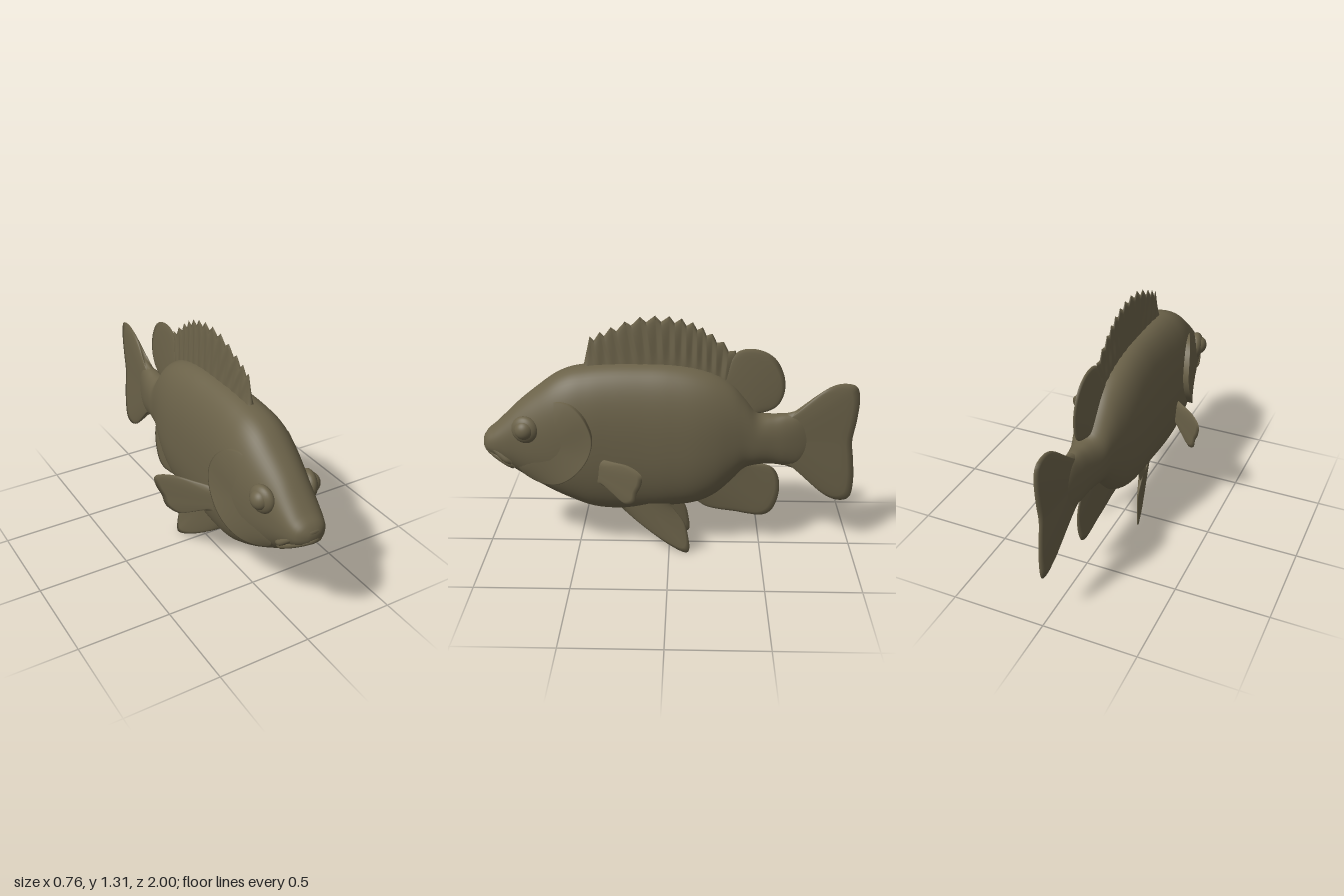
import * as THREE from 'three';
import { mergeVertices } from 'three/addons/utils/BufferGeometryUtils.js';

const olive = new THREE.MeshStandardMaterial({ color: 0x6b6249, side: THREE.DoubleSide });
olive.name = 'olive';

// Body stations from tail to snout: z, top, bottom, half width
const stations = [
  [-0.76, 0.68, 0.58, 0.012], [-0.7, 0.77, 0.5, 0.035], [-0.62, 0.785, 0.49, 0.058], [-0.54, 0.78, 0.5, 0.075],
  [-0.46, 0.795, 0.495, 0.095], [-0.4, 0.87, 0.475, 0.11], [-0.34, 0.94, 0.41, 0.128], [-0.25, 1.0, 0.325, 0.152],
  [-0.15, 1.035, 0.275, 0.167], [0, 1.057, 0.25, 0.172], [0.15, 1.06, 0.238, 0.173], [0.3, 1.058, 0.23, 0.178],
  [0.42, 1.048, 0.246, 0.184], [0.52, 1.03, 0.285, 0.184], [0.6, 0.995, 0.322, 0.175], [0.7, 0.922, 0.378, 0.155],
  [0.8, 0.84, 0.44, 0.13], [0.88, 0.762, 0.497, 0.113], [0.94, 0.705, 0.542, 0.095], [0.975, 0.677, 0.568, 0.072],
  [0.992, 0.65, 0.59, 0.04],
];
const profile = new THREE.CubicInterpolant(stations.map((s) => s[0]), stations.flatMap((s) => s.slice(1)), 3);
const POWER = 2.3;

function section(z) {
  const [top, bottom, w] = profile.evaluate(z);
  return { mid: (top + bottom) / 2, h: (top - bottom) / 2, w };
}

// Half width of the body at a given z and y
function bodyX(z, y) {
  const { mid, h, w } = section(z);
  const t = Math.min(1, Math.abs((y - mid) / h));
  return w * Math.pow(1 - Math.pow(t, POWER), 1 / POWER);
}

// Smooth surface from a rule f(u, v) => [x, y, z]
function surface(nu, nv, f) {
  const pos = [], index = [];
  for (let i = 0; i <= nu; i++) for (let j = 0; j <= nv; j++) pos.push(...f(i / nu, j / nv));
  for (let i = 0; i < nu; i++) for (let j = 0; j < nv; j++) {
    const a = i * (nv + 1) + j, c = a + nv + 1;
    index.push(a, a + 1, c, a + 1, c + 1, c);
  }
  let geo = new THREE.BufferGeometry();
  geo.setAttribute('position', new THREE.Float32BufferAttribute(pos, 3));
  geo.setIndex(index);
  geo = mergeVertices(geo, 1e-5);
  geo.computeVertexNormals();
  return geo;
}

function curve(points, sharp = false, closed = false) {
  return new THREE.CatmullRomCurve3(points.map((p) => new THREE.Vector3(...p)), closed, 'catmullrom', sharp ? 0 : 0.5);
}

// Thin fin between a base curve and a rim, tapering to the rim, with raised rays
function fin(base, rim, { normal = [1, 0, 0], thick = 0.02, rays = 0, ray = 0.003, sharp = false, n = 80 }) {
  const b = curve(base), r = curve(rim, sharp), nrm = new THREE.Vector3(...normal).normalize();
  return surface(n, 20, (u, v) => {
    const side = v < 0.5 ? 1 : -1, k = 1 - Math.abs(2 * v - 1);
    const p = b.getPoint(u).lerp(r.getPoint(u), k);
    const ripple = ray * Math.cos(u * rays * 2 * Math.PI) * Math.sin(Math.PI * k);
    const t = k > 0.999 ? 0 : thick * Math.sqrt(1 - k) * (1 - 0.4 * k) + (rays ? ripple : 0);
    return p.addScaledVector(nrm, side * t).toArray();
  });
}

const side = (points) => points.map(([z, y]) => [0, y, z]);

export function createModel() {
  const model = new THREE.Group();
  model.name = 'fish';
  const add = (name, geo, parent = model) => {
    const mesh = new THREE.Mesh(geo, olive);
    mesh.name = name;
    parent.add(mesh);
    return mesh;
  };

  // Body, closed at both ends
  const z0 = stations[0][0], z1 = stations[stations.length - 1][0];
  add('body', surface(110, 64, (u, v) => {
    const k = Math.min(1, Math.max(0, (u * 110 - 1) / 108));
    const z = z0 + (z1 - z0) * k;
    const { mid, h, w } = section(z);
    const end = u === 0 || u === 1 ? 0 : 1;
    const a = (v === 1 ? 0 : v) * Math.PI * 2, c = Math.cos(a), s = Math.sin(a), e = 2 / POWER;
    return [end * w * Math.sign(c) * Math.abs(c) ** e, mid + end * h * Math.sign(s) * Math.abs(s) ** e,
      z + (u === 1 ? 0.006 : 0)];
  }));

  // Spiny dorsal fin: notched rim between spines
  const crest = curve(side([[0.41, 1.2], [0.3, 1.25], [0.15, 1.305], [0, 1.31], [-0.12, 1.28], [-0.22, 1.22], [-0.34, 1.13]]));
  const rim = [[0, 1.05, 0.445]];
  const SPINES = 12;
  for (let i = 0; i <= SPINES; i++) {
    const p = crest.getPoint(i / SPINES);
    rim.push([0, p.y, p.z]);
    if (i < SPINES) {
      const q = crest.getPoint((i + 0.4) / SPINES);
      rim.push([0, q.y - 0.032, q.z]);
    }
  }
  rim.push([0, 0.99, -0.36]);
  add('spinyDorsalFin', fin(side([[0.43, 1.03], [0.2, 1.04], [0, 1.04], [-0.18, 1.0], [-0.33, 0.92]]), rim,
    { thick: 0.02, rays: 13, ray: 0.005, sharp: true, n: (rim.length - 1) * 8 }));

  add('softDorsalFin', fin(side([[-0.28, 0.96], [-0.37, 0.88], [-0.44, 0.78]]),
    side([[-0.31, 1.06], [-0.34, 1.115], [-0.4, 1.14], [-0.48, 1.13], [-0.55, 1.085], [-0.595, 1.0], [-0.603, 0.91],
      [-0.575, 0.835], [-0.52, 0.797], [-0.46, 0.785]]), { thick: 0.022 }));

  add('analFin', fin(side([[-0.1, 0.3], [-0.28, 0.38], [-0.4, 0.5]]),
    side([[-0.15, 0.265], [-0.2, 0.23], [-0.27, 0.212], [-0.36, 0.2], [-0.44, 0.185], [-0.51, 0.18], [-0.565, 0.215],
      [-0.597, 0.31], [-0.592, 0.41], [-0.55, 0.475], [-0.46, 0.5]]), { thick: 0.022 }));

  add('tailFin', fin(side([[-0.6, 0.77], [-0.64, 0.64], [-0.6, 0.5]]),
    side([[-0.62, 0.785], [-0.7, 0.815], [-0.77, 0.885], [-0.85, 0.94], [-0.92, 0.955], [-0.98, 0.935], [-0.998, 0.86],
      [-0.99, 0.74], [-0.975, 0.63], [-0.988, 0.52], [-0.998, 0.4], [-0.985, 0.3], [-0.93, 0.277], [-0.86, 0.3],
      [-0.79, 0.355], [-0.72, 0.44], [-0.62, 0.49]]), { thick: 0.032 }));

  // Paired parts, built on the left and mirrored
  const gillRim = curve([[0.62, 0.87, 0], [0.52, 0.89, 0.5], [0.44, 0.83, 0.9], [0.395, 0.72, 1], [0.415, 0.61, 1],
    [0.49, 0.505, 1], [0.59, 0.435, 0.9], [0.69, 0.425, 0.7], [0.78, 0.465, 0.35], [0.8, 0.54, 0], [0.73, 0.7, 0]], false, true);
  const gill = surface(24, 96, (u, v) => {
    const g = gillRim.getPoint(v === 1 ? 0 : v);
    const k = Math.min(1, u / 0.94);
    const z = 0.64 + (g.x - 0.64) * k, y = 0.65 + (g.y - 0.65) * k;
    const lift = u > 0.97 ? -0.02 : -0.004 + 0.036 * g.z * k * k;
    return [bodyX(z, y) + lift, y, z];
  });
  const pectoral = (points) => points.map(([x, y]) => [x, y, 0.335 - (x - 0.18) * 1.05]);

  for (const [label, sign] of [['left', 1], ['right', -1]]) {
    const half = new THREE.Group();
    half.name = label + 'Side';
    half.scale.x = sign;
    model.add(half);

    add('gillCover', gill, half);

    // Eye with a raised socket ring
    const eye = add('eye', new THREE.SphereGeometry(0.052, 32, 20), half);
    eye.position.set(0.143, 0.735, 0.75);
    eye.scale.x = 0.9;
    const socket = add('eyeSocket', new THREE.SphereGeometry(0.074, 32, 20), half);
    socket.position.set(0.13, 0.732, 0.75);
    socket.scale.x = 0.56;
    socket.rotation.y = -0.25;

    add('pectoralFin', fin(pectoral([[0.155, 0.56], [0.15, 0.5], [0.155, 0.45]]),
      pectoral([[0.17, 0.585], [0.23, 0.598], [0.3, 0.613], [0.355, 0.605], [0.377, 0.58], [0.37, 0.53], [0.35, 0.48],
        [0.335, 0.42], [0.29, 0.385], [0.25, 0.4], [0.21, 0.425], [0.17, 0.435]]),
      { normal: [1.05, 0, 1], thick: 0.02 }), half);

    add('pelvicFin', fin([[0.03, 0.25, 0.27], [0.065, 0.28, 0.14], [0.1, 0.3, 0]],
      [[0.03, 0.225, 0.26], [0.06, 0.15, 0.165], [0.09, 0.07, 0.05], [0.112, 0.02, -0.04], [0.123, 0.004, -0.095],
        [0.122, 0.03, -0.112], [0.118, 0.1, -0.105], [0.112, 0.18, -0.085], [0.105, 0.26, -0.03]],
      { normal: [1, 0.25, -0.2], thick: 0.024 }), half);
  }

  // Lips
  const lip = (name, half, r) => {
    const pts = [...half.slice(1).reverse().map(([x, y, z]) => [-x, y, z]), ...half];
    add(name, new THREE.TubeGeometry(curve(pts), 48, r, 12, false));
  };
  lip('upperLip', [[0, 0.642, 0.977], [0.045, 0.635, 0.965], [0.08, 0.6, 0.925], [0.098, 0.55, 0.87], [0.09, 0.53, 0.84]], 0.018);
  lip('lowerLip', [[0, 0.597, 0.982], [0.042, 0.588, 0.966], [0.072, 0.558, 0.92], [0.085, 0.52, 0.86], [0.075, 0.5, 0.83]], 0.018);

  return model;
}
